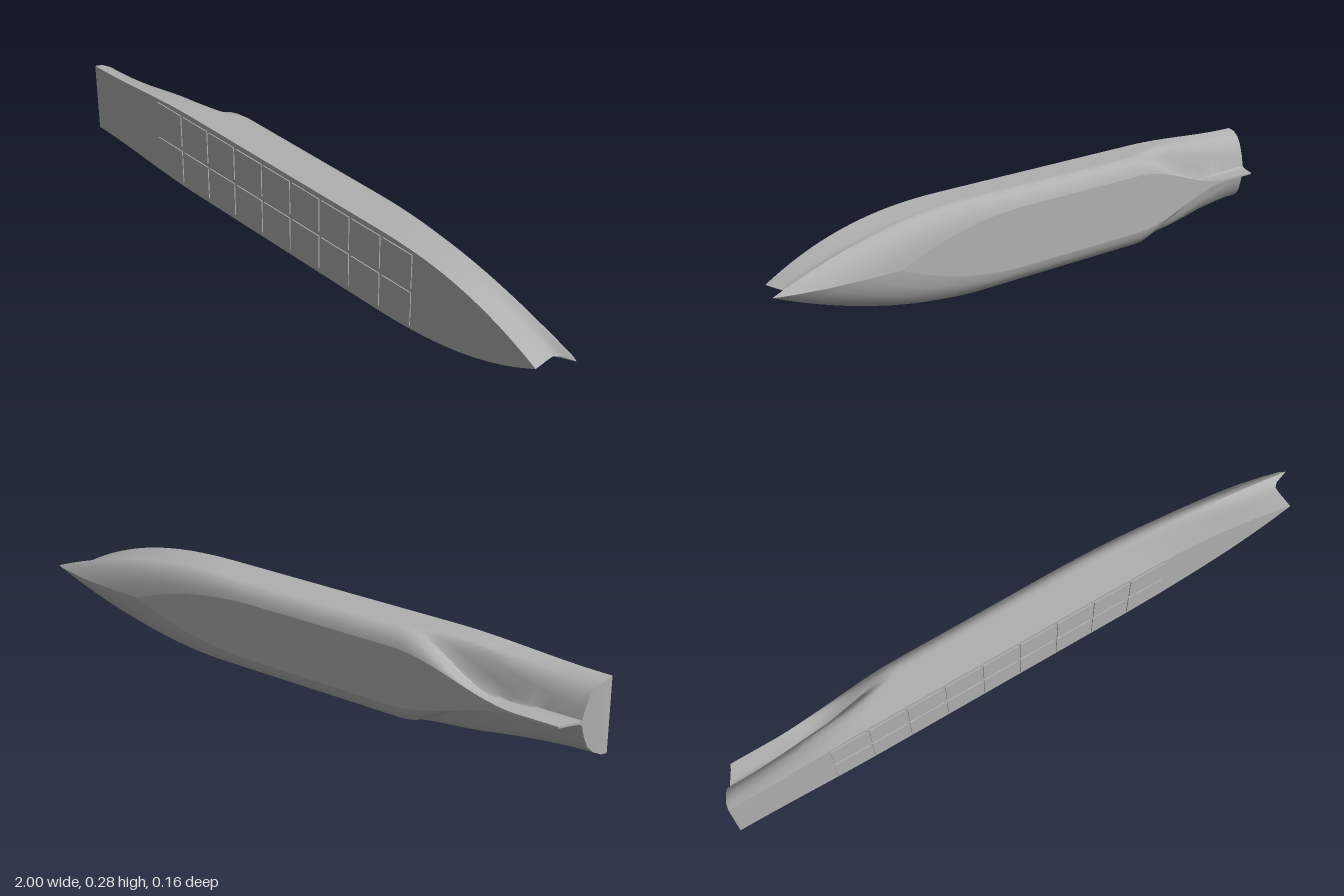
import * as THREE from 'three';
import { toCreasedNormals } from 'three/addons/utils/BufferGeometryUtils.js';

const MID = 0.1425; // height of the hull's centreline (the ship lies on its side)
const COLUMNS = 72;
const smooth = THREE.MathUtils.smoothstep;

// Waterlines from keel to deck: depth, stern end and half-breadth there,
// stern run start and shoulder, largest half-breadth, bow shoulder, bow end, fullness
const waterlines = [
  [-0.081, -0.93, 0.003, -0.8, -0.38, 0.092, 0.1, 0.6, 2.2],
  [-0.076, -0.932, 0.003, -0.78, -0.38, 0.111, 0.15, 0.72, 2.1],
  [-0.064, -0.938, 0.003, -0.75, -0.38, 0.13, 0.2, 0.85, 2.0],
  [-0.047, -0.948, 0.003, -0.72, -0.4, 0.141, 0.27, 0.93, 1.9],
  [-0.034, -0.956, 0.003, -0.72, -0.4, 0.1425, 0.3, 0.98, 1.9],
  [-0.024, -0.962, 0.004, -0.75, -0.42, 0.1425, 0.3, 1.0, 1.9],
  [-0.017, -0.966, 0.008, -0.85, -0.43, 0.1425, 0.3, 0.98, 1.9],
  [-0.008, -0.97, 0.045, -0.95, -0.45, 0.1425, 0.3, 0.955, 2.0],
  [0.005, -0.975, 0.078, -1, -0.5, 0.1425, 0.3, 0.942, 2.1],
  [0.025, -0.985, 0.1, -1, -0.5, 0.1425, 0.3, 0.942, 2.2],
  [0.05, -0.996, 0.113, -1, -0.5, 0.1425, 0.3, 0.944, 2.35],
  [0.076, -1, 0.118, -1, -0.5, 0.1425, 0.3, 0.946, 2.5],
];
const TOP = waterlines.length - 1;

// Point on one waterline; side is +1 (upper) or -1 (lower)
function hullPoint(level, column, side) {
  const [z, aft, aftHalf, run, aftShoulder, half, shoulder, fore, power] = waterlines[level];
  const x = THREE.MathUtils.lerp(aft, fore, column / COLUMNS);
  let y = aftHalf + (half - aftHalf) * smooth(x, run, aftShoulder);
  if (x > shoulder) y *= Math.max(0, 1 - ((x - shoulder) / (fore - shoulder)) ** power);
  const sheer = level === TOP ? 0.005 * smooth(x, 0.5, 0.95) : 0;
  return [x, MID + side * y, z + sheer];
}

// Skin a grid of points
function skin(rows, flip = false) {
  const w = rows[0].length;
  const index = [];
  for (let i = 0; i < rows.length - 1; i++) {
    for (let j = 0; j < w - 1; j++) {
      const a = i * w + j, b = a + 1, c = a + w, d = c + 1;
      if (flip) index.push(a, c, b, b, c, d);
      else index.push(a, b, c, b, d, c);
    }
  }
  const g = new THREE.BufferGeometry();
  g.setAttribute('position', new THREE.Float32BufferAttribute(rows.flat(2), 3));
  g.setIndex(index);
  return toCreasedNormals(g, 0.7);
}

export function createModel() {
  const model = new THREE.Group();
  const hullGrey = new THREE.MeshStandardMaterial({ color: 0xb0b0b0, side: THREE.DoubleSide });
  hullGrey.name = 'hull grey';
  const add = (name, geometry) => {
    const mesh = new THREE.Mesh(geometry, hullGrey);
    mesh.name = name;
    model.add(mesh);
    return mesh;
  };
  const columns = Array.from({ length: COLUMNS + 1 }, (_, i) => i);
  const levels = waterlines.map((_, i) => i);

  // Two mirrored sides with skeg and bulbous bow
  for (const side of [1, -1]) {
    add(side > 0 ? 'upperHullSide' : 'lowerHullSide',
      skin(levels.map((l) => columns.map((c) => hullPoint(l, c, side))), side > 0));
  }

  // Flat bottom, deck and sloping transom
  const across = (level) => [-1, 1].map((s) => columns.map((c) => hullPoint(level, c, s)));
  add('flatBottom', skin(across(0), true));
  add('deck', skin(across(TOP)));
  add('transom', skin([-1, 1].map((s) => levels.map((l) => hullPoint(l, 0, s))), false));

  // Two rows of nine hatch covers on the deck
  const hatches = new THREE.Group();
  hatches.name = 'hatchCovers';
  const cover = new THREE.BoxGeometry(0.118, 0.117, 0.006);
  for (let i = 0; i < 9; i++) {
    for (const side of [-1, 1]) {
      const hatch = new THREE.Mesh(cover, hullGrey);
      hatch.name = 'hatchCover';
      hatch.position.set(-0.61 + i * 0.128, MID + side * 0.066, 0.0765);
      hatches.add(hatch);
    }
  }
  model.add(hatches);
  return model;
}
